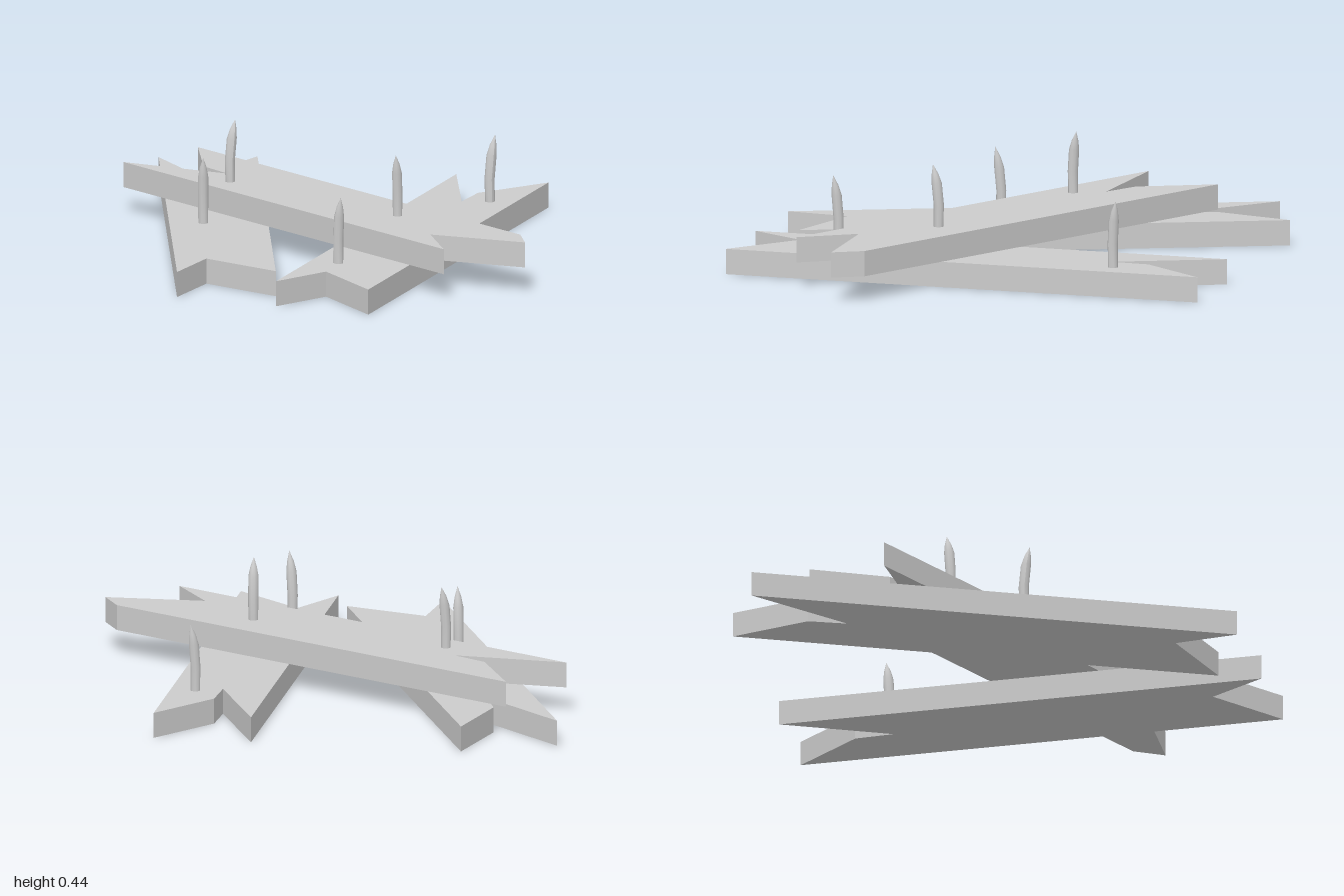
import * as THREE from 'three';

const THICK = 0.1;

// Flat board cut from an outline of [x, z] corners, lying on its local y = 0
function plank(name, outline, material) {
  const shape = new THREE.Shape(outline.map(([x, z]) => new THREE.Vector2(x, -z)));
  const geometry = new THREE.ExtrudeGeometry(shape, { depth: THICK, bevelEnabled: false });
  geometry.rotateX(-Math.PI / 2);
  const mesh = new THREE.Mesh(geometry, material);
  mesh.name = name;
  return mesh;
}

// Pointed nail whose shaft bows slightly one way, then leans over to the tip
function nailGeometry(height) {
  const profile = [[0.019, -0.02], [0.019, 0], [0.02, 0.35], [0.02, 0.7], [0.013, 0.85], [0, 1]]
    .map(([r, t]) => new THREE.Vector2(r, t * height));
  const geometry = new THREE.LatheGeometry(profile, 10);
  const pos = geometry.attributes.position;
  for (let i = 0; i < pos.count; i++) {
    const t = Math.max(0, pos.getY(i) / height);
    pos.setX(i, pos.getX(i) + 0.04 * t * t - 0.018 * t);
  }
  geometry.computeVertexNormals();
  return geometry;
}

export function createModel() {
  const model = new THREE.Group();
  const material = new THREE.MeshStandardMaterial({ color: 0xcccccc });

  // Two identical lower boards with splintered ends
  const lowerOutline = [
    [-0.192, -0.96], [-0.007, -0.545], [0, -0.7], [0.192, -0.96],
    [0.192, 0.96], [-0.07, 0.74], [-0.192, 0.96],
  ];
  const leftPlank = plank('leftPlank', lowerOutline, material);
  leftPlank.position.set(0.373, 0, 0);
  const rightPlank = plank('rightPlank', lowerOutline, material);
  rightPlank.position.set(-0.44, 0, 0);
  rightPlank.rotation.y = 0.41;

  // Board laid across the other two
  const crossPlank = plank('crossPlank', [
    [-0.765, -0.625], [0.933, 0.28], [0.998, 0.395], [0.607, 0.405],
    [0.745, 0.615], [-0.943, -0.288], [-0.495, -0.255], [-0.628, -0.335],
  ], material);
  crossPlank.position.y = THICK;
  model.add(leftPlank, rightPlank, crossPlank);

  // Nails: x, base y, z, heading of the lean
  const nails = [
    [0.468, 0.1, -0.585, 0.8],
    [0.295, 0.1, 0.587, -0.8],
    [-0.438, 0.1, 0.155, -1.2],
    [0.372, 0.2, 0.155, -1.5],
    [-0.44, 0.2, -0.138, 0.9],
  ];
  nails.forEach(([x, y, z, heading], i) => {
    const nail = new THREE.Mesh(nailGeometry(y > 0.15 ? 0.245 : 0.265), material);
    nail.name = `nail${i + 1}`;
    nail.position.set(x, y, z);
    nail.rotation.y = heading;
    model.add(nail);
  });

  return model;
}
